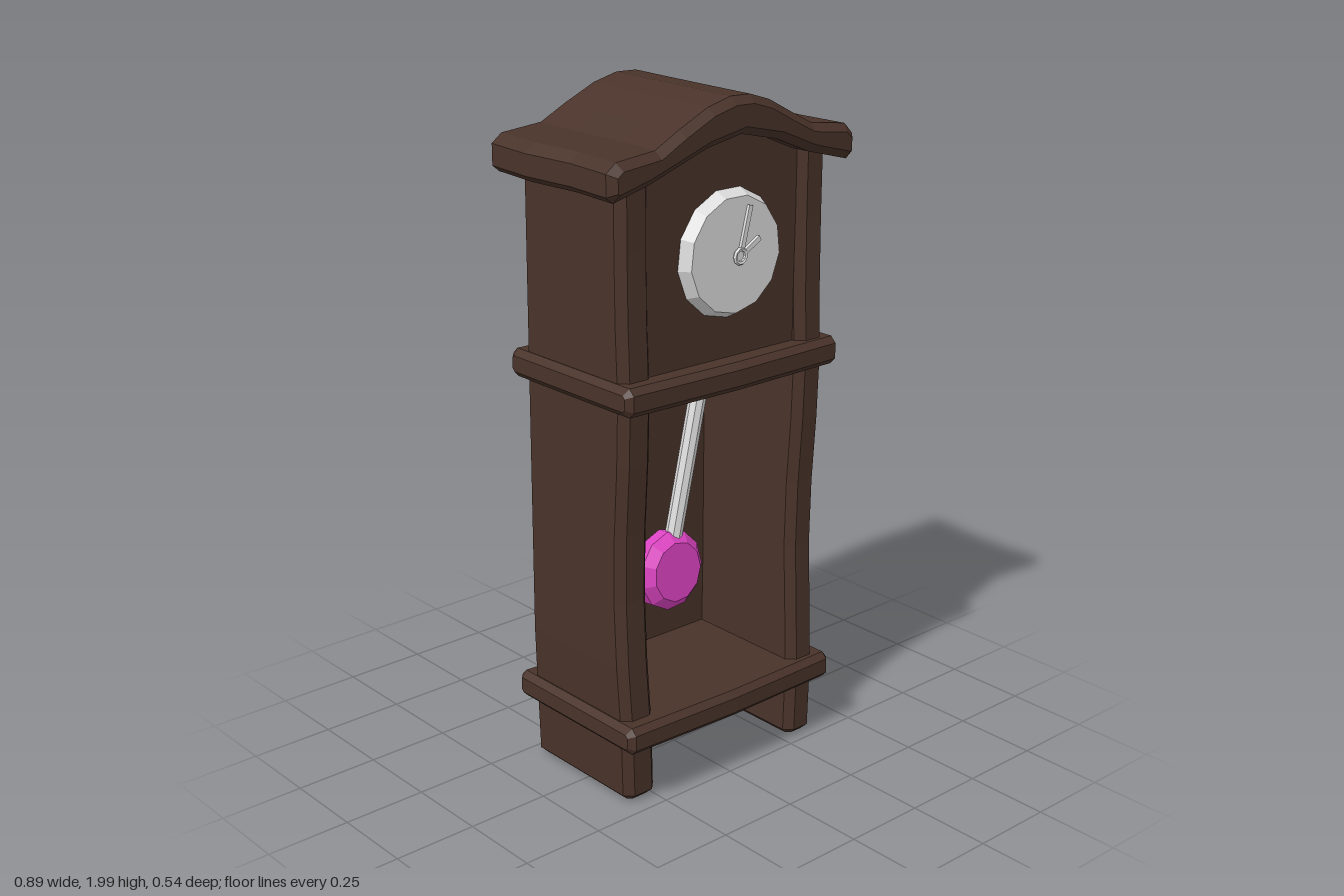
import * as THREE from 'three';

const wood = new THREE.MeshStandardMaterial({ color: 0x49332a });
wood.name = 'dark wood';
const metal = new THREE.MeshStandardMaterial({ color: 0xdcdcdc });
metal.name = 'pale metal';
const pink = new THREE.MeshStandardMaterial({ color: 0xdc44c2 });
pink.name = 'magenta';

// Faceted copy of a geometry, optionally warped by a rule on each vertex
function faceted(geometry, warp) {
  const g = geometry.index ? geometry.toNonIndexed() : geometry;
  const p = g.attributes.position;
  const v = new THREE.Vector3();
  for (let i = 0; warp && i < p.count; i++) {
    warp(v.fromBufferAttribute(p, i));
    p.setXYZ(i, v.x, v.y, v.z);
  }
  g.computeVertexNormals();
  return g;
}

function part(name, geometry, material, x = 0, y = 0, z = 0) {
  const mesh = new THREE.Mesh(geometry, material);
  mesh.name = name;
  mesh.position.set(x, y, z);
  return mesh;
}

// Outline extruded along z, centred, with chamfered ends
function slab(points, length, steps = 1, bevel = 0) {
  const shape = new THREE.Shape(points.map(([x, y]) => new THREE.Vector2(x, y)));
  return new THREE.ExtrudeGeometry(shape, {
    depth: length - 2 * bevel, steps, bevelEnabled: bevel > 0,
    bevelSize: bevel, bevelThickness: bevel, bevelOffset: -bevel, bevelSegments: 1,
  }).translate(0, 0, bevel - length / 2);
}

// Rectangle with cut corners
function cutRect(w, h, c) {
  const x = w / 2, y = h / 2;
  return [[-x + c, -y], [x - c, -y], [x, -y + c], [x, y - c],
    [x - c, y], [-x + c, y], [-x, y - c], [-x, -y + c]];
}

export function createModel() {
  const clock = new THREE.Group();
  clock.name = 'pendulumClock';

  // Thick side boards, bowed along their front edge, forming posts and legs
  const sides = [['leftSide', 0.329, 0.104, 0.452, -0.014, -0.006], ['rightSide', -0.303, 0.112, 0.42, -0.017, 0.014]];
  for (const [name, x, w, depth, z, foot] of sides) {
    const g = slab(cutRect(w, depth, 0.024), 1.83, 9, 0.02).rotateX(-Math.PI / 2);
    g.translate(x, 0.92, z);
    clock.add(part(name, faceted(g, v => {
      const bow = Math.cos(2 * Math.PI * (v.y - 0.15) / 1.05);
      if (v.z > 0) v.z += 0.011 * (v.y > 1.2 ? Math.max(bow, 0) : bow);
      v.x += foot * Math.max(0, 1 - v.y / 0.4) + (v.y - 0.9) * 0.004;
    }), wood));
  }

  // Recessed back board and upper front board with arched tops
  const boards = [['backBoard', 0.2, 0.032, -0.192], ['frontBoard', 1.22, 0.03, 0.175]];
  for (const [name, bottom, thick, z] of boards) {
    const outline = [[-0.28, bottom], [0.31, bottom], [0.31, 1.83], [0.2, 1.88],
      [0.1, 1.92], [0.02, 1.935], [-0.08, 1.92], [-0.18, 1.88], [-0.28, 1.83]];
    clock.add(part(name, faceted(slab(outline, thick)), wood, 0, 0, z));
  }

  // Two projecting shelves
  for (const [name, y] of [['lowerShelf', 0.222], ['upperShelf', 1.22]]) {
    const g = slab(cutRect(0.52, 0.082, 0.018), 0.79, 4, 0.018).rotateY(Math.PI / 2);
    clock.add(part(name, faceted(g, v => {
      v.y -= v.x * 0.008;
      v.z += 0.005 * Math.cos(v.x * 8);
    }), wood, 0.017, y, -0.005));
  }

  // Curved roof with flared eaves
  const roofOutline = [[-0.42, 1.772], [-0.3, 1.802], [-0.2, 1.836], [-0.1, 1.87], [0.02, 1.892],
    [0.15, 1.862], [0.27, 1.812], [0.42, 1.772], [0.442, 1.79], [0.442, 1.84], [0.41, 1.872],
    [0.28, 1.89], [0.2, 1.93], [0.12, 1.972], [0.05, 1.994], [-0.02, 1.996], [-0.1, 1.976],
    [-0.2, 1.93], [-0.28, 1.888], [-0.41, 1.875], [-0.442, 1.85], [-0.442, 1.79]];
  const roof = slab(roofOutline, 0.508, 3, 0.022).translate(0, 0, 0.012);
  clock.add(part('roof', faceted(roof, v => {
    const side = Math.min(1, Math.abs(v.x) * 2.5);
    if (Math.abs(v.z) < 0.15) v.x += side * (v.x > 0 ? -0.012 : 0.009 * Math.sign(v.z));
    if (v.z < 0) v.z += 0.007 * Math.cos(v.x * 6) - 0.004;
    v.y -= v.z * 0.015;
  }), wood));

  // Dial with bevelled rim, centre ring and two hands
  const dial = new THREE.Group();
  dial.name = 'dial';
  dial.position.set(0.025, 1.557, -0.003);
  const disc = new THREE.CylinderGeometry(0.163, 0.186, 0.044, 13).rotateX(Math.PI / 2);
  dial.add(part('dialFace', faceted(disc), metal, 0, 0, 0.206));
  const ring = new THREE.TorusGeometry(0.02, 0.006, 5, 10);
  dial.add(part('centreRing', faceted(ring), metal, 0.01, -0.004, 0.234));
  for (const [name, x, y] of [['minuteHand', 0.035, 0.135], ['hourHand', 0.07, 0.04]]) {
    const length = Math.hypot(x, y) - 0.02;
    const g = new THREE.BoxGeometry(0.014, length, 0.009).translate(0, length / 2 + 0.02, 0);
    const hand = part(name, g, metal, 0.01, -0.004, 0.233);
    hand.rotation.z = -Math.atan2(x, y);
    dial.add(hand);
  }
  clock.add(dial);

  // Swinging pendulum
  const pendulum = new THREE.Group();
  pendulum.name = 'pendulum';
  pendulum.position.set(0.026, 1.2, 0.09);
  pendulum.rotation.z = -Math.atan2(0.129, 0.568);
  const rod = new THREE.CylinderGeometry(0.025, 0.025, 0.52, 8);
  pendulum.add(part('pendulumRod', faceted(rod), metal, 0, -0.26, 0));
  const profile = [[0, -0.045], [0.087, -0.045], [0.116, -0.018], [0.116, 0.018], [0.087, 0.045], [0, 0.045]];
  const bob = new THREE.LatheGeometry(profile.map(([x, y]) => new THREE.Vector2(x, y)), 11);
  const bobMesh = part('pendulumBob', faceted(bob.rotateX(Math.PI / 2)), pink, 0, -0.584, 0);
  bobMesh.rotation.x = -0.1;
  pendulum.add(bobMesh);
  clock.add(pendulum);

  return clock;
}
